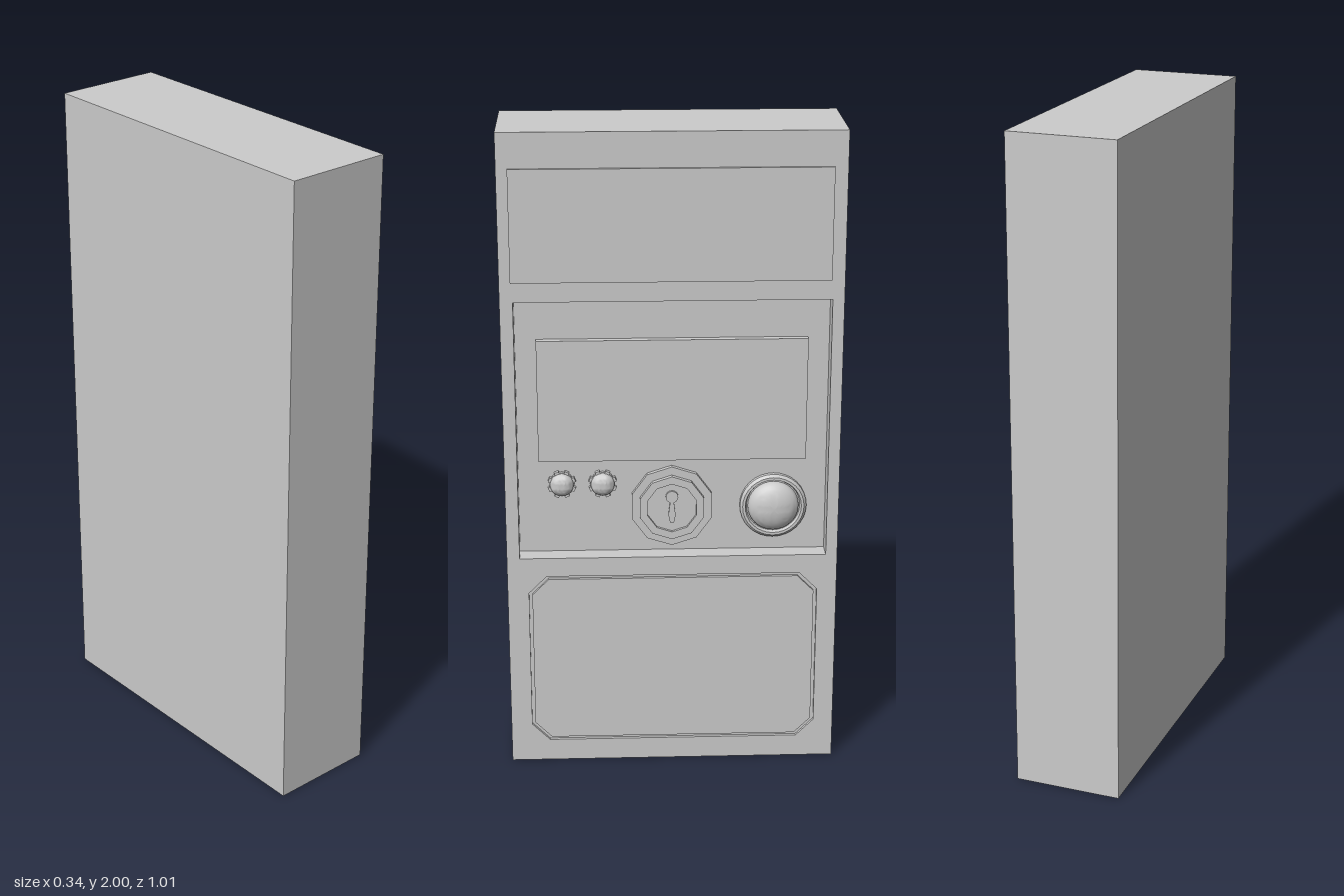
import * as THREE from 'three';
import { toCreasedNormals } from 'three/addons/utils/BufferGeometryUtils.js';

const grey = new THREE.MeshStandardMaterial({ color: 0xcccccc });
const greyFlat = new THREE.MeshStandardMaterial({ color: 0xcccccc, flatShading: true });

// Depths along the panel's outward direction
const BACK = -0.17, FLOOR = 0.1, FACE = 0.16;

// Rectangle outline with optional cut corners
function outline(x0, y0, x1, y1, cut = 0, Kind = THREE.Shape) {
  const pts = cut
    ? [[x0 + cut, y0], [x1 - cut, y0], [x1, y0 + cut], [x1, y1 - cut],
      [x1 - cut, y1], [x0 + cut, y1], [x0, y1 - cut], [x0, y0 + cut]]
    : [[x0, y0], [x1, y0], [x1, y1], [x0, y1]];
  return new Kind(pts.map(([x, y]) => new THREE.Vector2(x, y)));
}

function slab(name, shape, from, to) {
  const geo = new THREE.ExtrudeGeometry(shape, { depth: to - from, bevelEnabled: false, curveSegments: 8 });
  geo.translate(0, 0, from);
  const mesh = new THREE.Mesh(geo, grey);
  mesh.name = name;
  return mesh;
}

// Turned part whose axis points out of the panel
function turned(name, profile, sides, u, v, material = grey) {
  let geo = new THREE.LatheGeometry(profile.map(([r, h]) => new THREE.Vector2(r, h)), sides);
  geo.rotateX(Math.PI / 2);
  if (material === grey) geo = toCreasedNormals(geo, 0.6);
  const mesh = new THREE.Mesh(geo, material);
  mesh.name = name;
  mesh.position.set(u, v, FLOOR);
  return mesh;
}

// Quarter-ellipse profile for a domed cap
function dome(radius, base, height, steps = 8) {
  const pts = [[radius, 0]];
  for (let i = 0; i <= steps; i++) {
    const a = (i / steps) * Math.PI / 2;
    pts.push([i === steps ? 0 : radius * Math.cos(a), base + height * Math.sin(a)]);
  }
  return pts;
}

export function createModel() {
  const model = new THREE.Group();
  model.name = 'controlPanel';

  // Built facing +z, then turned to face +x
  const panel = new THREE.Group();
  panel.name = 'panel';
  panel.rotation.y = Math.PI / 2;
  model.add(panel);

  // Housing: solid back and a front slab with two openings
  const front = outline(-0.505, 0, 0.505, 2);
  front.holes.push(
    outline(-0.466, 0.69, 0.47, 1.5, 0, THREE.Path),
    outline(-0.44, 0.07, 0.445, 0.63, 0.055, THREE.Path));
  panel.add(slab('housingBack', outline(-0.505, 0, 0.505, 2), BACK, FLOOR));
  panel.add(slab('housingFront', front, FLOOR, FACE));

  // Raised sign plate and display
  panel.add(slab('topPlate', outline(-0.472, 1.56, 0.466, 1.895), FACE, 0.169));
  panel.add(slab('display', outline(-0.403, 0.99, 0.406, 1.37), FLOOR, FLOOR + 0.022));

  // Lower hatch, set in a narrow groove
  panel.add(slab('hatchGroove', outline(-0.44, 0.07, 0.445, 0.63, 0.055), FLOOR, FACE - 0.01));
  panel.add(slab('hatch', outline(-0.43, 0.08, 0.435, 0.62, 0.051), FACE - 0.01, FACE));

  // Two small buttons with notched collars
  for (const u of [-0.334, -0.21]) {
    const button = new THREE.Group();
    button.name = 'smallButton';
    button.add(turned('collar', [[0.038, 0], [0.038, 0.012], [0, 0.012]], 16, u, 0.912));
    for (let i = 0; i < 8; i++) {
      const a = ((i + 0.5) / 8) * Math.PI * 2;
      const notch = new THREE.Mesh(new THREE.BoxGeometry(0.012, 0.014, 0.014), grey);
      notch.name = 'collarTooth';
      notch.position.set(u + 0.037 * Math.cos(a), 0.912 + 0.037 * Math.sin(a), FLOOR + 0.007);
      notch.rotation.z = a;
      button.add(notch);
    }
    button.add(turned('cap', dome(0.036, 0.012, 0.024), 20, u, 0.912));
    panel.add(button);
  }

  // Ten-sided stepped lock
  const lock = new THREE.Group();
  lock.name = 'lock';
  lock.add(turned('lockPlate', [
    [0.128, 0], [0.128, 0.016], [0.102, 0.016], [0.102, 0.032],
    [0.078, 0.032], [0.078, 0.022], [0, 0.022],
  ], 10, 0, 0.838, greyFlat));
  const round = new THREE.Shape().absarc(0, 0.873, 0.019, 0, Math.PI * 2);
  const slot = new THREE.Shape([
    [-0.006, 0.79], [0.006, 0.79], [0.011, 0.815], [0.005, 0.862], [-0.005, 0.862], [-0.011, 0.815],
  ].map(([x, y]) => new THREE.Vector2(x, y)));
  lock.add(slab('keyholeRound', round, FLOOR + 0.022, FLOOR + 0.03));
  lock.add(slab('keyholeSlot', slot, FLOOR + 0.022, FLOOR + 0.03));
  panel.add(lock);

  // Large domed button in a ring
  const big = new THREE.Group();
  big.name = 'largeButton';
  big.add(turned('ring', [
    [0.102, 0], [0.102, 0.014], [0.094, 0.022], [0.086, 0.022], [0.082, 0.01], [0, 0.01],
  ], 32, 0.31, 0.835));
  big.add(turned('cap', dome(0.078, 0.012, 0.042, 10), 32, 0.31, 0.835));
  panel.add(big);

  return model;
}
